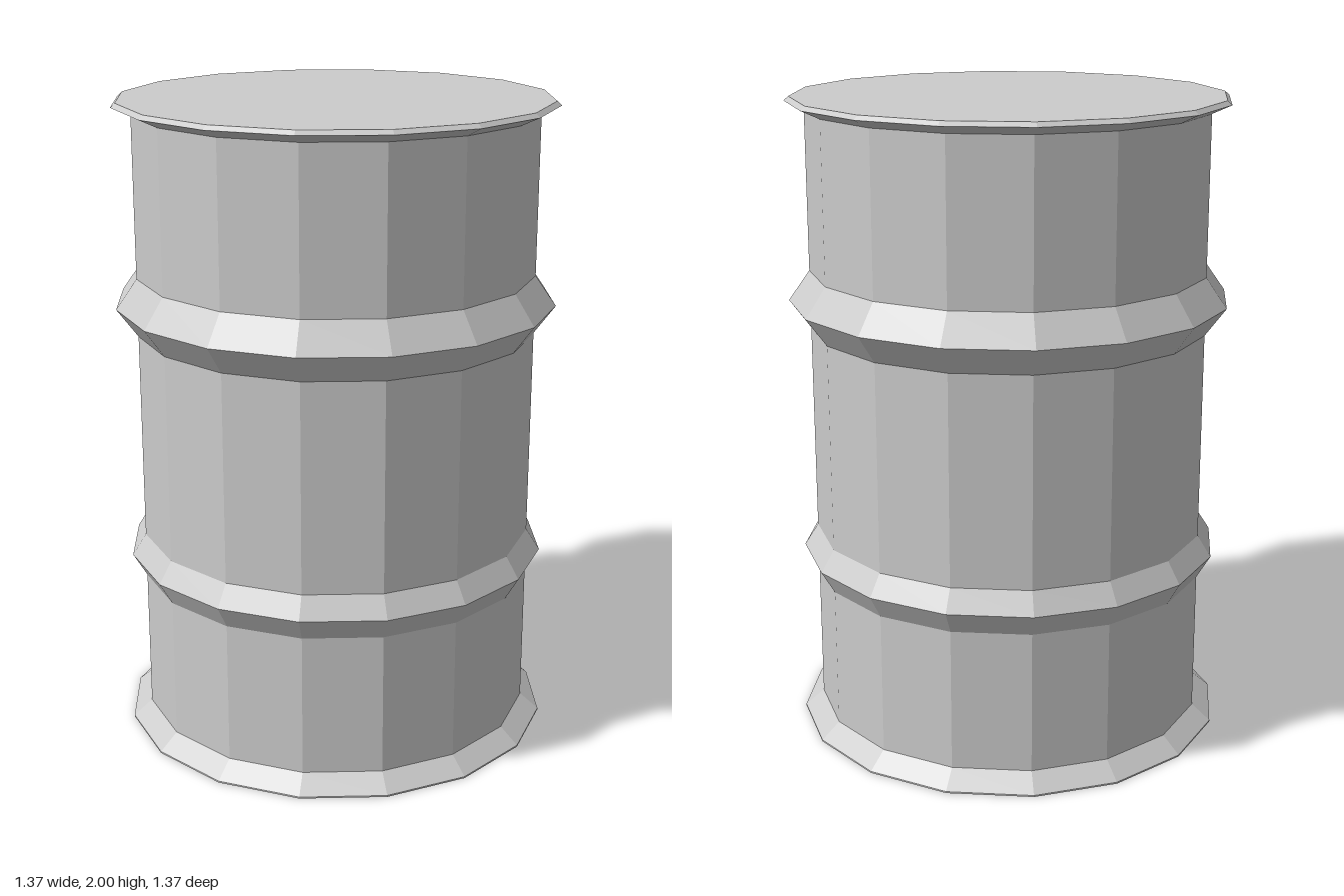
import * as THREE from 'three';

const SIDES = 16;
const BODY = 0.618;

export function createModel() {
  const group = new THREE.Group();
  group.name = 'barrel';
  const material = new THREE.MeshStandardMaterial({ color: 0xcccccc, flatShading: true });

  const add = (name, geometry) => {
    const mesh = new THREE.Mesh(geometry, material);
    mesh.name = name;
    group.add(mesh);
    return mesh;
  };

  // Faceted band turned from [radius, height] pairs, listed bottom to top
  const band = (name, profile) =>
    add(name, new THREE.LatheGeometry(profile.map(([r, y]) => new THREE.Vector2(r, y)), SIDES));

  // Flat disc closing one end
  const cap = (name, radius, y, facing) => {
    const disc = add(name, new THREE.CircleGeometry(radius, SIDES));
    disc.rotation.x = -facing * Math.PI / 2;
    disc.position.y = y;
  };

  // Flared foot and base
  cap('base', 0.677, 0, -1);
  band('bottomRim', [[0.677, 0], [0.677, 0.005], [BODY, 0.055]]);

  // Straight walls between the hoops
  band('lowerWall', [[BODY, 0.055], [BODY, 0.5]]);
  band('middleWall', [[BODY, 0.64], [BODY, 1.29]]);
  band('upperWall', [[BODY, 1.47], [BODY, 1.96]]);

  // Ridged hoops
  band('lowerHoop', [[BODY, 0.5], [0.661, 0.573], [BODY, 0.64]]);
  band('upperHoop', [[BODY, 1.29], [0.683, 1.378], [BODY, 1.47]]);

  // Flared top rim with a small bevel, and the lid
  band('topRim', [[BODY, 1.96], [0.677, 1.987], [0.663, 2]]);
  cap('lid', 0.663, 2, 1);

  return group;
}
